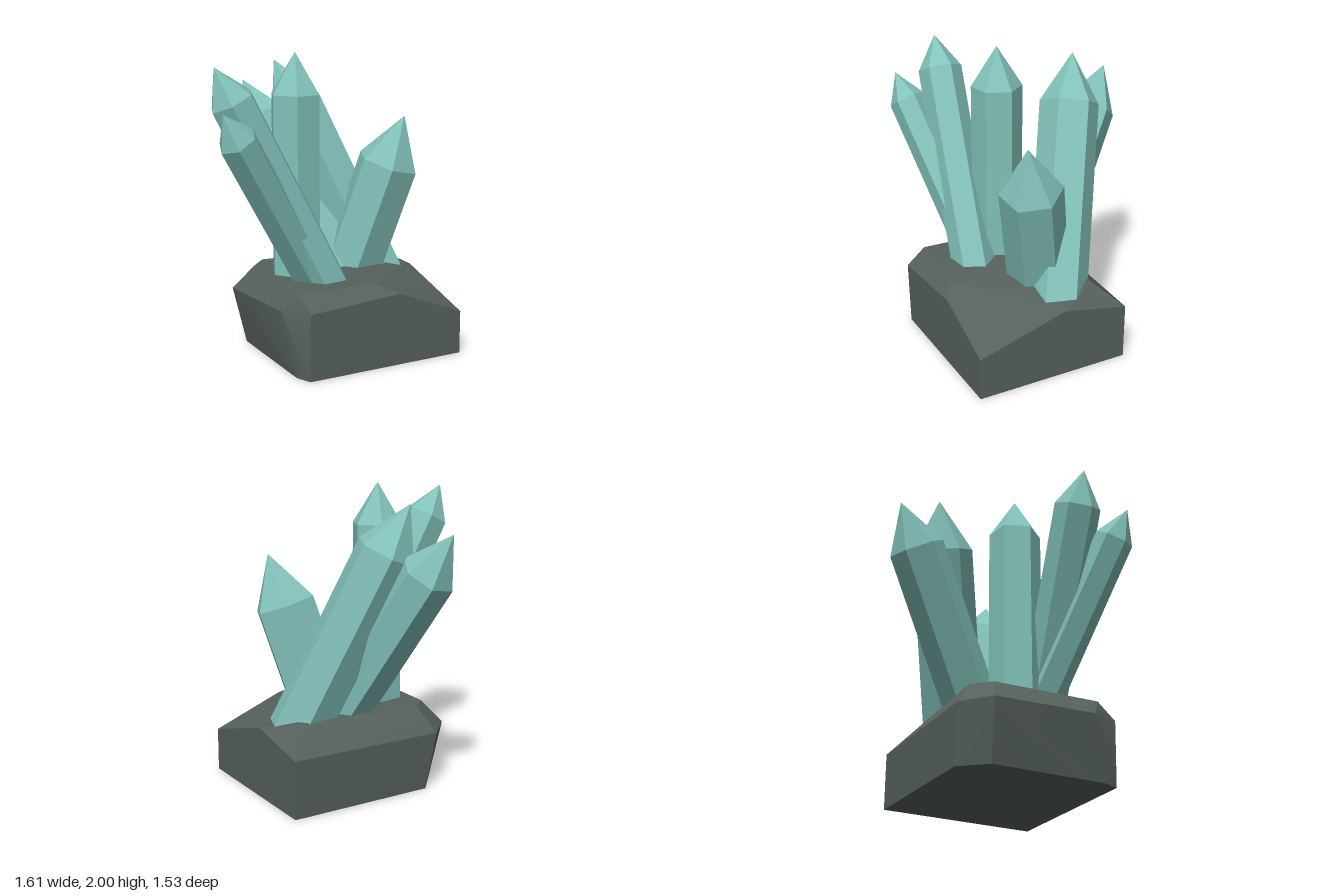
import * as THREE from 'three';
import { toCreasedNormals } from 'three/addons/utils/BufferGeometryUtils.js';
import { ConvexGeometry } from 'three/addons/geometries/ConvexGeometry.js';

const crystalMaterial = new THREE.MeshStandardMaterial({ color: 0x82c2ba });
crystalMaterial.name = 'paleTealCrystal';
const rockMaterial = new THREE.MeshStandardMaterial({ color: 0x56615d });
rockMaterial.name = 'darkGreyRock';

const UP = new THREE.Vector3(0, 1, 0);
const ROOT_Y = 0.3; // crystals are rooted inside the rock

// Six-sided prism with a pointed end, leaning by lean[0] in x and lean[1] in z per unit of height
function crystal(name, tip, lean, shoulderY, radius) {
  const dir = new THREE.Vector3(lean[0], 1, lean[1]);
  const stretch = dir.length();
  const shaft = (shoulderY - ROOT_Y) * stretch;
  const total = (tip[1] - ROOT_Y) * stretch;
  const profile = [[0, 0], [radius, 0], [radius, shaft], [0, total]].map(p => new THREE.Vector2(...p));
  const geometry = new THREE.LatheGeometry(profile, 6).toNonIndexed();
  geometry.computeVertexNormals();

  const mesh = new THREE.Mesh(geometry, crystalMaterial);
  mesh.name = name;
  mesh.position.set(...tip).addScaledVector(dir, ROOT_Y - tip[1]);
  mesh.quaternion.setFromUnitVectors(UP, dir.normalize());
  return mesh;
}

// Faceted boulder: foot outline, widest rim and flat top
function rock() {
  const foot = [[0.8, 0, 0.27], [0.38, 0, -0.73], [-0.54, 0, -0.33], [-0.61, 0, -0.12], [-0.32, 0, 0.61], [-0.24, 0, 0.69]];
  const rim = [[0.8, 0.29, 0.27], [0.56, 0.47, -0.3], [0.38, 0.38, -0.73], [-0.61, 0.38, -0.32],
    [-0.7, 0.39, -0.11], [-0.41, 0.42, 0.54], [-0.24, 0.44, 0.7], [0.36, 0.48, 0.45]];
  const top = [[0.21, 0.545, 0.43], [0.28, 0.545, 0.1], [0.33, 0.545, -0.51], [-0.49, 0.545, -0.25],
    [-0.55, 0.545, -0.1], [-0.3, 0.545, 0.58]];
  const points = [...foot, ...rim, ...top].map(p => new THREE.Vector3(...p));
  const mesh = new THREE.Mesh(toCreasedNormals(new ConvexGeometry(points), 0.4), rockMaterial);
  mesh.name = 'rockBase';
  return mesh;
}

export function createModel() {
  const group = new THREE.Group();
  group.name = 'crystalCluster';
  group.add(
    rock(),
    crystal('centreCrystal', [-0.275, 2.0, 0.063], [0, 0], 1.73, 0.172),
    crystal('frontTallCrystal', [-0.795, 1.94, 0.45], [-0.487, 0.143], 1.73, 0.15),
    crystal('frontShortCrystal', [-0.75, 1.69, 0.73], [-0.49, 0.44], 1.52, 0.125),
    crystal('backTallCrystal', [-0.38, 1.91, -0.455], [-0.467, -0.117], 1.61, 0.2),
    crystal('backShortCrystal', [-0.59, 1.75, -0.71], [-0.48, -0.44], 1.49, 0.18),
    crystal('leftCrystal', [0.465, 1.56, -0.06], [0.323, 0.11], 1.24, 0.21),
  );
  return group;
}
